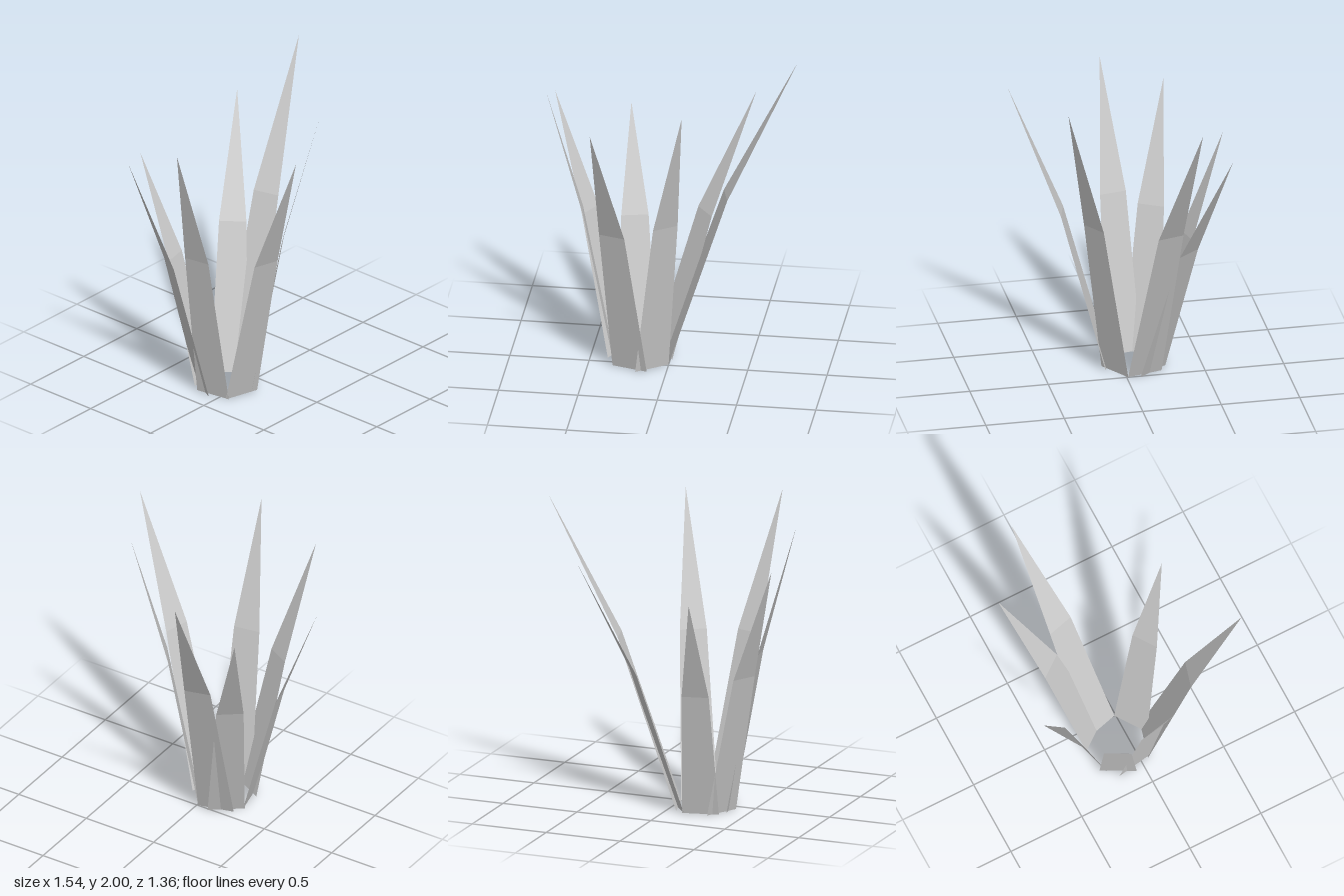
import * as THREE from 'three';

// Ring on the ground that the blades grow out of
const CENTRE = new THREE.Vector3(-0.19, 0, -0.08);
const RING = 0.165;
const BASE_HALF = 0.1165;
const MID_HALF = 0.086;

// Blade tips
const TIPS = [
  [0.77, 2.0, -0.33],
  [0.47, 1.65, -0.58],
  [-0.33, 1.48, -0.68],
  [-0.77, 1.67, -0.39],
  [-0.77, 1.86, 0.015],
  [-0.4, 1.89, 0.68],
  [0.14, 1.915, 0.4],
];

// Flat blade leaning outward: tapered lower panel, then a pointed upper panel
function bladeGeometry(tip) {
  const out = tip.clone().sub(CENTRE).setY(0);
  const reach = out.length();
  out.normalize();
  const side = new THREE.Vector3(-out.z, 0, out.x);
  const at = (radius, y, offset) =>
    CENTRE.clone().addScaledVector(out, radius).addScaledVector(side, offset).setY(y);

  const midRadius = RING + (reach - RING) * 0.45;
  const midY = tip.y * 0.55;
  const a = at(RING, 0, -BASE_HALF);
  const b = at(RING, 0, BASE_HALF);
  const c = at(midRadius, midY, MID_HALF);
  const d = at(midRadius, midY, -MID_HALF);

  const geometry = new THREE.BufferGeometry().setFromPoints([a, c, b, a, d, c, d, tip, c]);
  geometry.computeVertexNormals();
  return geometry;
}

export function createModel() {
  const group = new THREE.Group();
  group.name = 'grassTuft';
  const material = new THREE.MeshStandardMaterial({
    color: 0xcccccc,
    flatShading: true,
    side: THREE.DoubleSide,
  });
  TIPS.forEach((tip, i) => {
    const blade = new THREE.Mesh(bladeGeometry(new THREE.Vector3(...tip)), material);
    blade.name = `blade${i + 1}`;
    group.add(blade);
  });
  return group;
}
